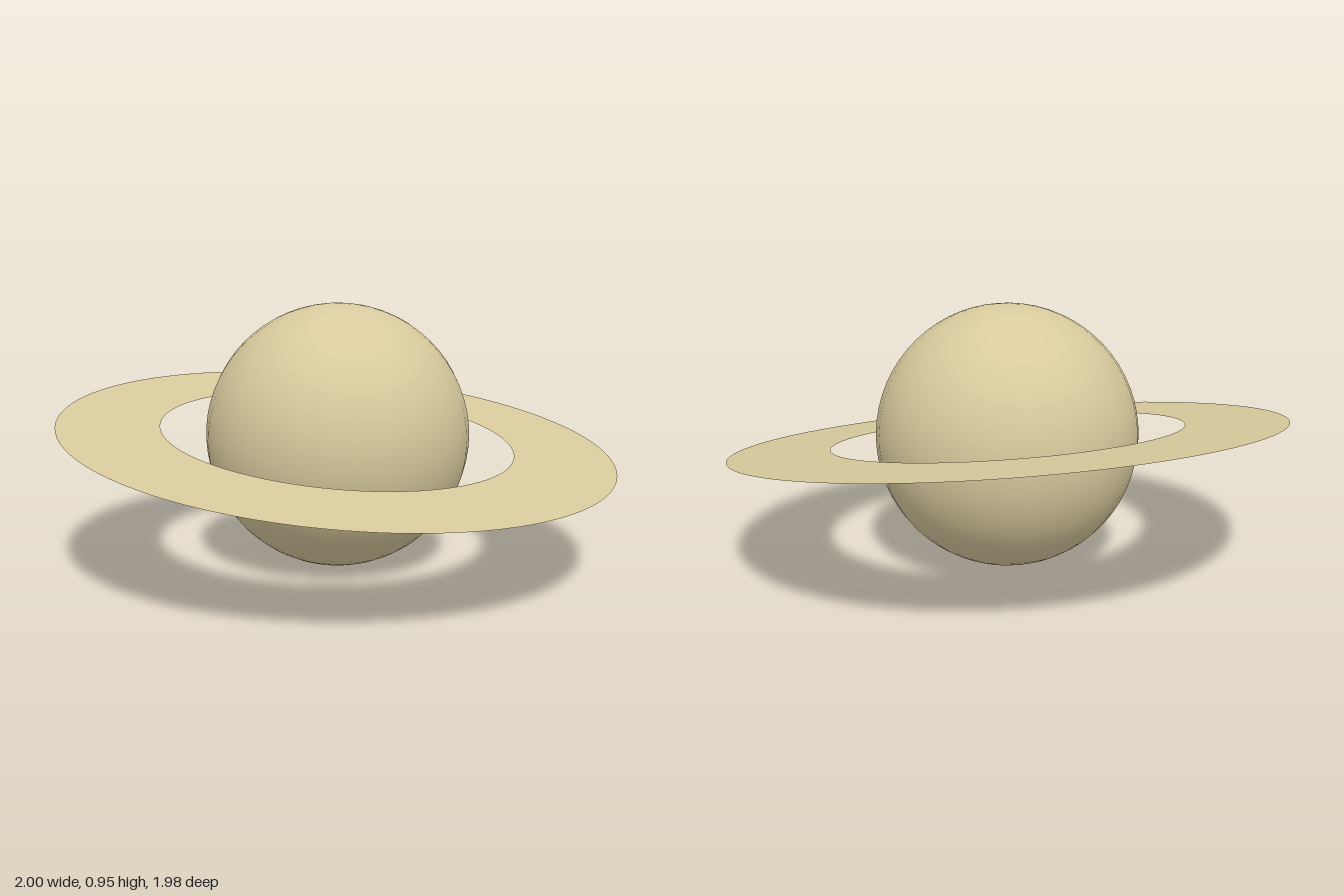
import * as THREE from 'three';

export function createModel() {
  const model = new THREE.Group();
  model.name = 'ringedPlanet';

  const radius = 0.476;
  const color = 0xd8ca9d;

  // Planet and ring share one tilted axis, leaning towards the front
  const tilted = new THREE.Group();
  tilted.name = 'tiltedBody';
  tilted.position.y = radius;
  tilted.rotation.x = 0.14;
  model.add(tilted);

  // Round planet body
  const planet = new THREE.Mesh(
    new THREE.SphereGeometry(radius, 32, 32),
    new THREE.MeshStandardMaterial({ color })
  );
  planet.name = 'planet';
  tilted.add(planet);

  // Thin flat ring, seen from both sides
  const ring = new THREE.Mesh(
    new THREE.RingGeometry(0.64, 1, 96),
    new THREE.MeshStandardMaterial({ color, side: THREE.DoubleSide })
  );
  ring.name = 'ring';
  ring.rotation.x = -Math.PI / 2;
  tilted.add(ring);

  return model;
}
